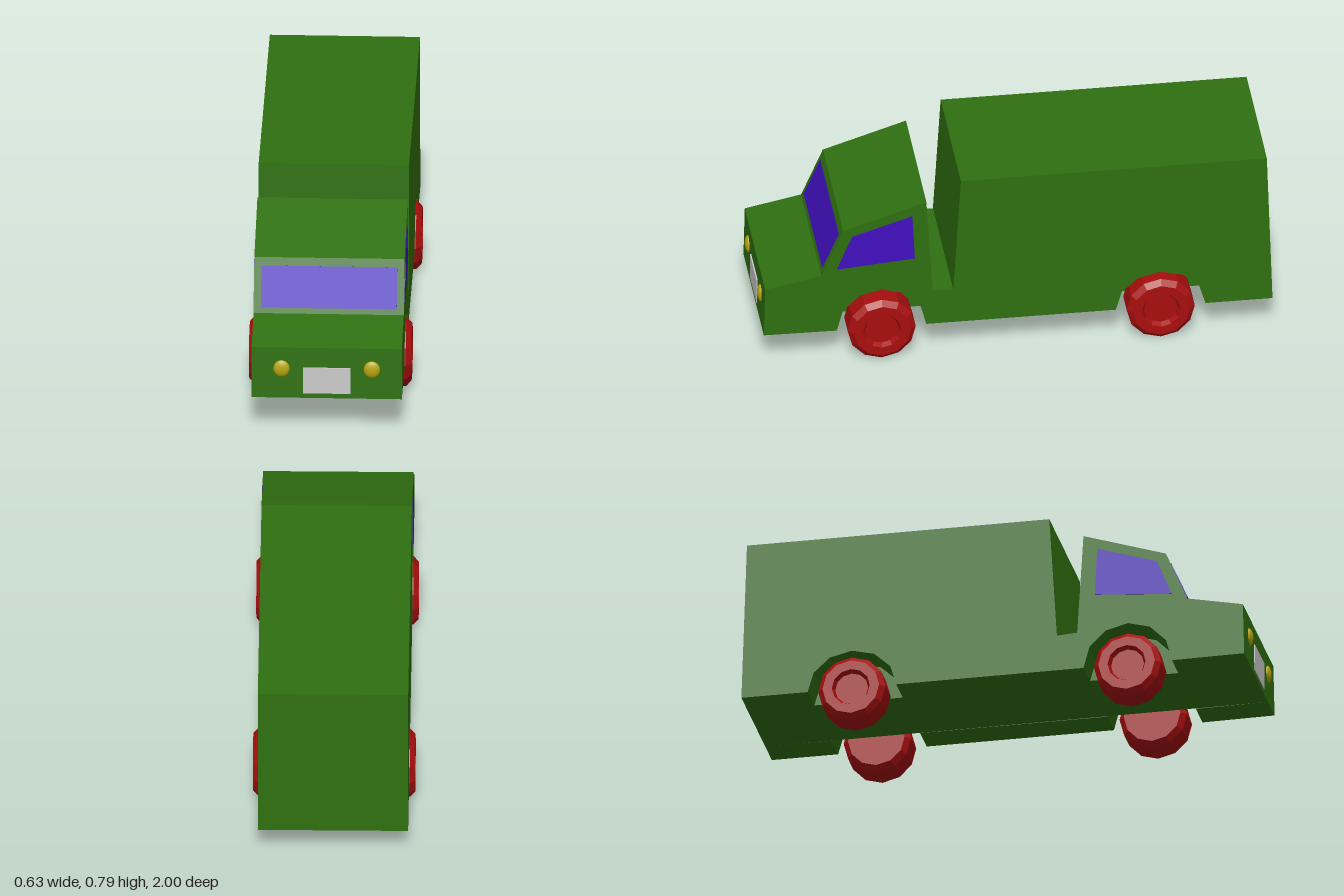
import * as THREE from 'three';

const material = (color) => new THREE.MeshStandardMaterial({ color, flatShading: true });
const HALF_WIDTH = 0.291;   // body half width
const POCKET = 0.165;       // x where the wheel wells end
const WHEELS = [{ z: 0.53, arch: 0.175 }, { z: -0.56, arch: 0.16 }];

// Extrudes a (z, y) outline across x, from x0 to x1
function extrudeSide(points, x0, x1) {
  const shape = new THREE.Shape(points.map(([z, y]) => new THREE.Vector2(z, y)));
  const geometry = new THREE.ExtrudeGeometry(shape, { depth: x1 - x0, bevelEnabled: false });
  geometry.rotateY(-Math.PI / 2);
  geometry.translate(x1, 0, 0);
  return geometry;
}

export function createModel() {
  const model = new THREE.Group();
  const green = material(0x2f7010);
  const red = material(0xa80e0e);
  const blue = material(0x420fbe);
  const yellow = material(0xb8a810);
  const grey = material(0xcccccc);

  const add = (name, geometry, mat, parent = model) => {
    const mesh = new THREE.Mesh(geometry, mat);
    mesh.name = name;
    parent.add(mesh);
    return mesh;
  };

  // Bonnet, cab, gap and cargo box in one silhouette
  const upper = [
    [0.99, 0.14], [0.985, 0.35], [0.765, 0.395], [0.68, 0.595], [0.355, 0.7],
    [0.33, 0.29], [0.25, 0.285], [0.22, 0.785], [-0.975, 0.785], [-0.997, 0.137],
  ];

  // Underside with wheel arches, walked from back to front
  const arches = [];
  for (const { z, arch } of [...WHEELS].reverse()) {
    for (let i = 0; i <= 6; i++) {
      const a = Math.PI - (i * Math.PI) / 6;
      arches.push([z + 0.175 * Math.cos(a), 0.137 + arch * Math.sin(a)]);
    }
  }

  const body = new THREE.Group();
  body.name = 'body';
  model.add(body);
  add('bodyCore', extrudeSide(upper, -POCKET, POCKET), green, body);
  add('leftBodySide', extrudeSide([...upper, ...arches], POCKET, HALF_WIDTH), green, body);
  add('rightBodySide', extrudeSide([...upper, ...arches], -HALF_WIDTH, -POCKET), green, body);

  // Windscreen lying on the sloped cab front
  const slope = Math.atan2(0.085, 0.2);
  const windscreen = add('windscreen', new THREE.BoxGeometry(0.526, 0.163, 0.006), blue);
  windscreen.position.set(0, 0.49, 0.7246);
  windscreen.rotation.x = -slope;

  // Side windows
  const windowOutline = [[0.705, 0.42], [0.645, 0.565], [0.41, 0.64], [0.4, 0.445]];
  add('leftWindow', extrudeSide(windowOutline, HALF_WIDTH - 0.003, HALF_WIDTH + 0.002), blue);
  add('rightWindow', extrudeSide(windowOutline, -HALF_WIDTH - 0.002, -HALF_WIDTH + 0.003), blue);

  // Number plate
  const plate = add('plate', new THREE.BoxGeometry(0.184, 0.108, 0.01), grey);
  plate.position.set(0, 0.214, 0.987);

  // Headlights
  const lamp = new THREE.SphereGeometry(1, 20, 14);
  lamp.scale(0.032, 0.035, 0.015);
  const lampMaterial = new THREE.MeshStandardMaterial({ color: 0xb8a810 });
  for (const side of [1, -1]) {
    const mesh = add(side > 0 ? 'leftHeadlight' : 'rightHeadlight', lamp, lampMaterial);
    mesh.position.set(side * 0.175, 0.262, 0.986);
  }

  // Wheel: chamfered tyre with a recessed hub, outer face towards +y of the profile
  const profile = [
    [0, -0.07], [0.112, -0.07], [0.133, -0.05], [0.133, 0.05],
    [0.112, 0.07], [0.075, 0.07], [0.065, 0.05], [0, 0.05],
  ].map(([r, h]) => new THREE.Vector2(r, h));
  const wheelGeometry = new THREE.LatheGeometry(profile, 12);
  wheelGeometry.rotateZ(-Math.PI / 2);
  WHEELS.forEach(({ z }, i) => {
    for (const side of [1, -1]) {
      const name = (i ? 'rear' : 'front') + (side > 0 ? 'Left' : 'Right') + 'Wheel';
      const wheel = add(name, wheelGeometry, red);
      wheel.position.set(side * 0.244, 0.133, z);
      if (side < 0) wheel.rotation.y = Math.PI;
    }
  });

  return model;
}
